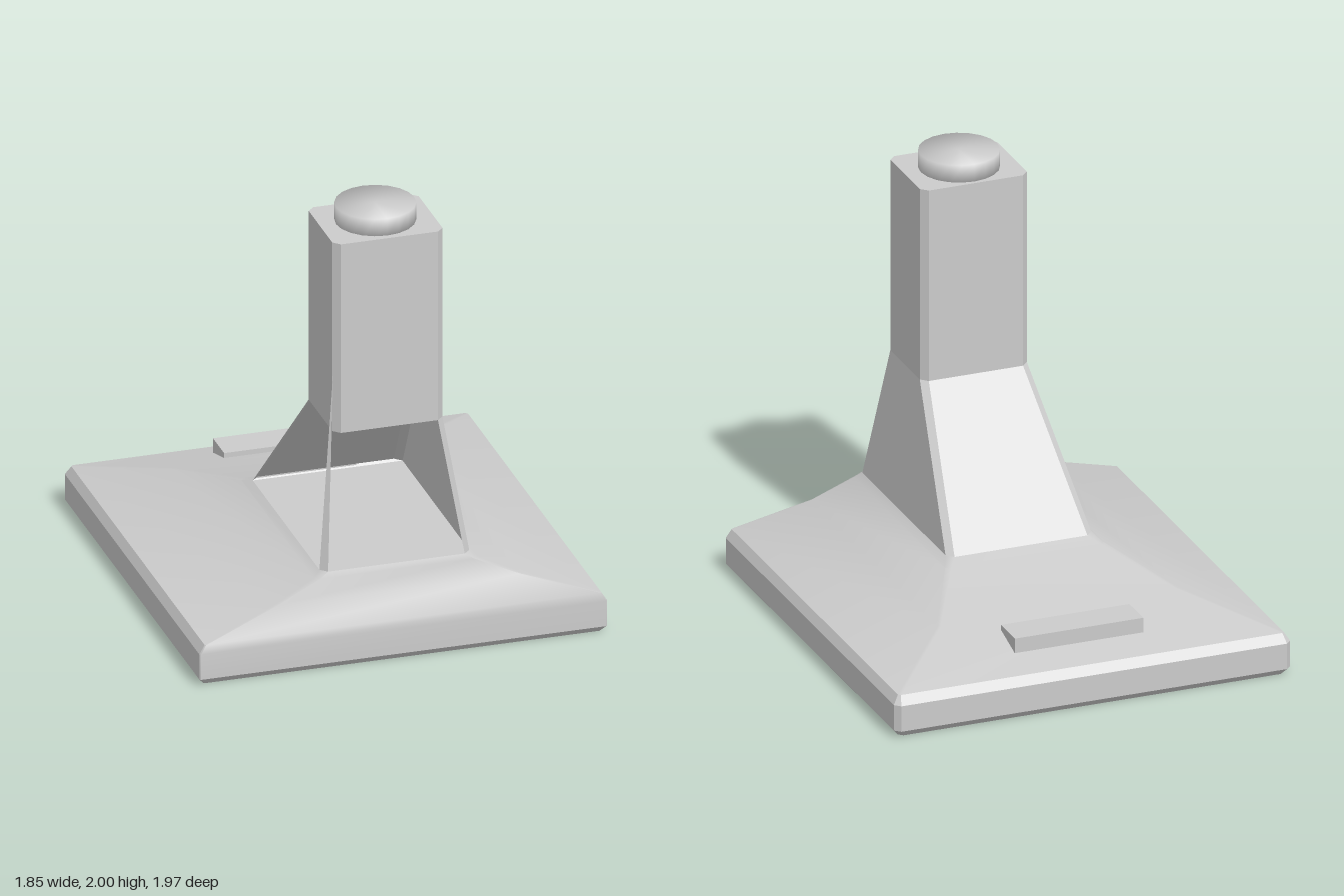
import * as THREE from 'three';
import { toCreasedNormals, mergeVertices } from 'three/addons/utils/BufferGeometryUtils.js';

const material = new THREE.MeshStandardMaterial({ color: 0xcccccc, side: THREE.DoubleSide });

// Chamfered rectangle, eight corners, starting on the front edge and turning towards +x
function ring({ y, hx, front, back, cf, cb }) {
  return [
    [-hx + cf, y, front], [hx - cf, y, front],
    [hx, y, front - cf], [hx, y, back + cb],
    [hx - cb, y, back], [-hx + cb, y, back],
    [-hx, y, back + cb], [-hx, y, front - cf],
  ];
}

// Skin between successive rings; skip(level, side) leaves a panel open
function loft(sections, { capBottom = false, capTop = false, skip = () => false } = {}) {
  const rings = sections.map(ring);
  const positions = rings.flat(2);
  const index = [];
  for (let i = 0; i < rings.length - 1; i++) {
    for (let j = 0; j < 8; j++) {
      if (skip(i, j)) continue;
      const a = i * 8 + j, b = i * 8 + (j + 1) % 8;
      index.push(a, b, b + 8, a, b + 8, a + 8);
    }
  }
  const last = (rings.length - 1) * 8;
  for (let j = 1; j < 7; j++) {
    if (capBottom) index.push(0, j + 1, j);
    if (capTop) index.push(last, last + j, last + j + 1);
  }
  const geometry = new THREE.BufferGeometry();
  geometry.setAttribute('position', new THREE.Float32BufferAttribute(positions, 3));
  geometry.setIndex(index);
  return toCreasedNormals(geometry, 0.55);
}

function section(y, hx, front, back, cf, cb) {
  return { y, hx, front, back, cf, cb };
}

export function createModel() {
  const group = new THREE.Group();
  const add = (name, geometry) => {
    const mesh = new THREE.Mesh(geometry, material);
    mesh.name = name;
    group.add(mesh);
    return mesh;
  };

  // Base: bevelled plate rising in a hollow sloping shell
  const shoulder = section(0.415, 0.34, 0.88, -0.14, 0.03, 0.03);
  add('base', loft([
    section(0, 0.9, 0.96, -0.96, 0.005, 0.02),
    section(0.03, 0.925, 0.985, -0.985, 0.005, 0.025),
    section(0.15, 0.925, 0.985, -0.985, 0.005, 0.025),
    section(0.19, 0.9, 0.98, -0.955, 0.005, 0.01),
    section(0.3, 0.56, 0.91, -0.57, 0.01, 0.01),
    section(0.39, 0.37, 0.89, -0.2, 0.02, 0.02),
    shoulder,
  ], { capBottom: true }));

  // Neck: the front panel, one flank and their shared corner are open
  const collar = section(1.02, 0.25, 0.78, 0.38, 0.03, 0.03);
  add('neck', loft([shoulder, collar], { skip: (i, j) => j === 0 || j >= 6 }));

  // Column: closed chamfered post
  add('column', loft([collar, { ...collar, y: 1.92 }], { capBottom: true, capTop: true }));

  // Thin strut left at the open corner of the neck
  const strut = new THREE.BufferGeometry();
  strut.setAttribute('position', new THREE.Float32BufferAttribute(
    [-0.25, 1.3, 0.76, -0.34, 0.415, 0.85, -0.31, 0.415, 0.88], 3));
  strut.computeVertexNormals();
  add('cornerStrut', strut);

  // Round button on top, softly shaded over its rim
  const button = new THREE.CylinderGeometry(0.178, 0.178, 0.1, 20);
  button.deleteAttribute('normal');
  button.deleteAttribute('uv');
  const softButton = mergeVertices(button);
  softButton.computeVertexNormals();
  add('topButton', softButton).position.set(0, 1.95, 0.575);

  // Raised bar on the rear slope
  add('rearBar', new THREE.BoxGeometry(0.6, 0.14, 0.16)).position.set(0, 0.23, -0.73);

  return group;
}
